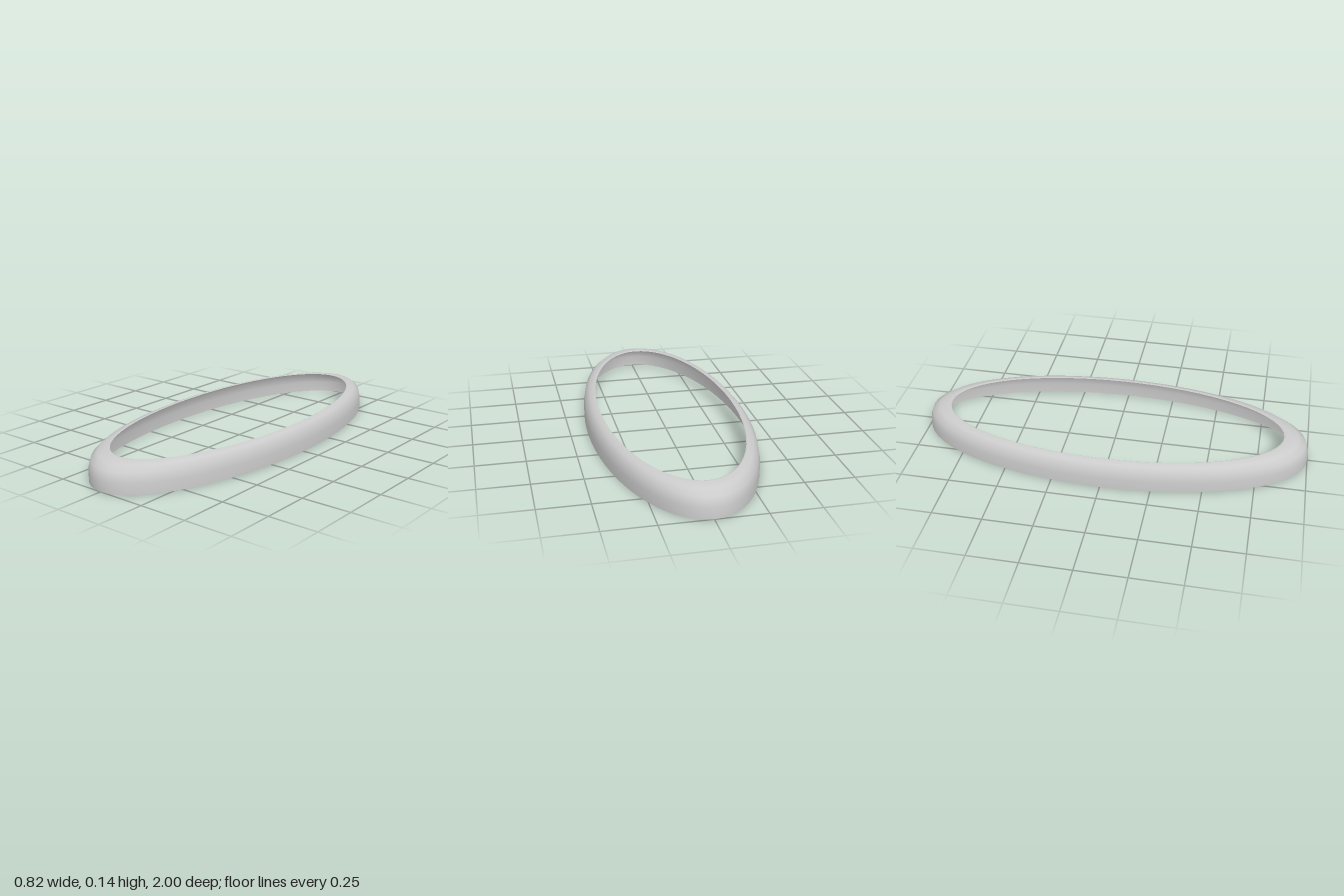
import * as THREE from 'three';
import { mergeVertices } from 'three/addons/utils/BufferGeometryUtils.js';

// Cross-section from the base up to the inner lip: [half width, half length, height]
const SECTION = [
  [0.41, 1.0, 0],
  [0.41, 1.0, 0.055],
  [0.402, 0.985, 0.1],
  [0.38, 0.945, 0.125],
  [0.355, 0.89, 0.135],
  [0.348, 0.877, 0.131],
];

// Open oval shell: a lathe whose rings are stretched along z
function ovalShell(section, segments) {
  const points = section.map(([w, , y]) => new THREE.Vector2(w, y));
  let geometry = new THREE.LatheGeometry(points, segments);
  const pos = geometry.attributes.position;
  for (let i = 0; i < pos.count; i++) {
    const [w, l] = section[i % section.length];
    // The opening sits very slightly towards the back
    const shift = l < 0.9 ? -0.005 : 0;
    pos.setZ(i, pos.getZ(i) * l / w + shift);
  }
  // Weld the seam so the shading stays smooth all the way round
  geometry.deleteAttribute('uv');
  geometry.deleteAttribute('normal');
  geometry = mergeVertices(geometry, 1e-5);
  geometry.computeVertexNormals();
  return geometry;
}

export function createModel() {
  const group = new THREE.Group();
  const material = new THREE.MeshStandardMaterial({ color: 0xcccccc, side: THREE.DoubleSide });
  const rim = new THREE.Mesh(ovalShell(SECTION, 64), material);
  rim.name = 'ovalRim';
  group.add(rim);
  return group;
}
